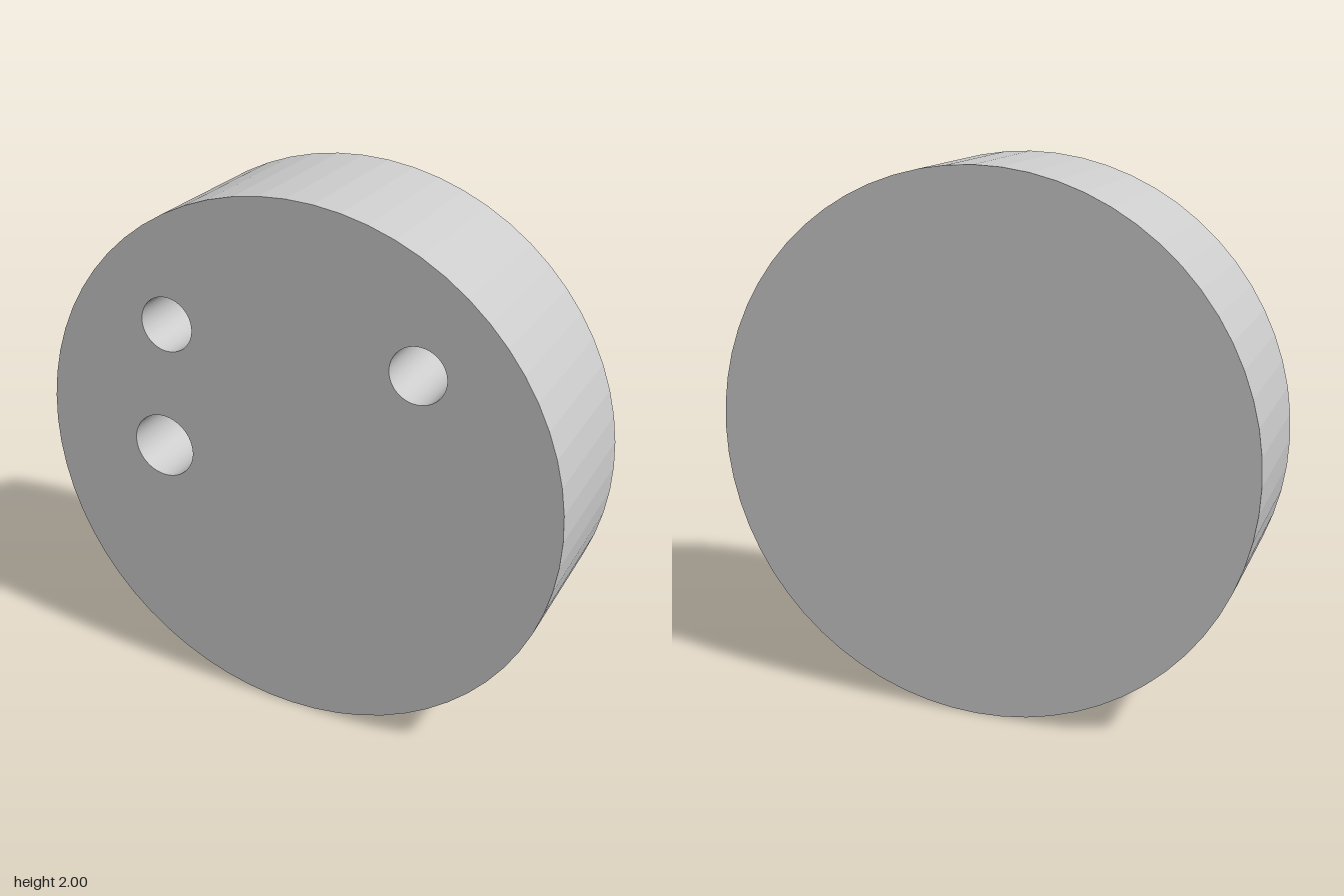
import * as THREE from 'three';

const RADIUS = 1, HALF = 0.288, SIDES = 64, HOLE_DEPTH = 0.45;

// blind holes in the front face: centre x, centre y, radius
const HOLES = [
  ['upperRightHole', -0.48, 1.48, 0.102],
  ['upperLeftHole', 0.475, 1.48, 0.102],
  ['lowerRightHole', -0.52, 0.995, 0.122],
];

function circlePoints(cx, cy, r) {
  return Array.from({ length: SIDES }, (_, i) => {
    const a = (i / SIDES) * Math.PI * 2;
    return new THREE.Vector2(cx + r * Math.cos(a), cy + r * Math.sin(a));
  });
}

export function createModel() {
  const group = new THREE.Group();
  const material = new THREE.MeshStandardMaterial({ color: 0xcccccc, flatShading: true });
  const add = (name, geometry, x, y, z) => {
    const mesh = new THREE.Mesh(geometry, material);
    mesh.name = name;
    mesh.position.set(x, y, z);
    group.add(mesh);
  };

  // faceted rim
  const rim = new THREE.CylinderGeometry(RADIUS, RADIUS, HALF * 2, SIDES, 1, true);
  add('rim', rim.rotateX(Math.PI / 2), 0, RADIUS, 0);

  // front face, pierced by the holes
  const face = new THREE.Shape(circlePoints(0, RADIUS, RADIUS));
  for (const [, x, y, r] of HOLES) face.holes.push(new THREE.Path(circlePoints(x, y, r)));
  add('frontFace', new THREE.ShapeGeometry(face), 0, 0, HALF);

  // plain back face
  add('backFace', new THREE.CircleGeometry(RADIUS, SIDES).rotateY(Math.PI), 0, RADIUS, -HALF);

  // hole walls and floors, facing inward
  for (const [name, x, y, r] of HOLES) {
    const profile = [[r, 0], [r, -HOLE_DEPTH], [0, -HOLE_DEPTH]].map(p => new THREE.Vector2(...p));
    add(name, new THREE.LatheGeometry(profile, SIDES).rotateX(Math.PI / 2), x, y, HALF);
  }
  return group;
}
